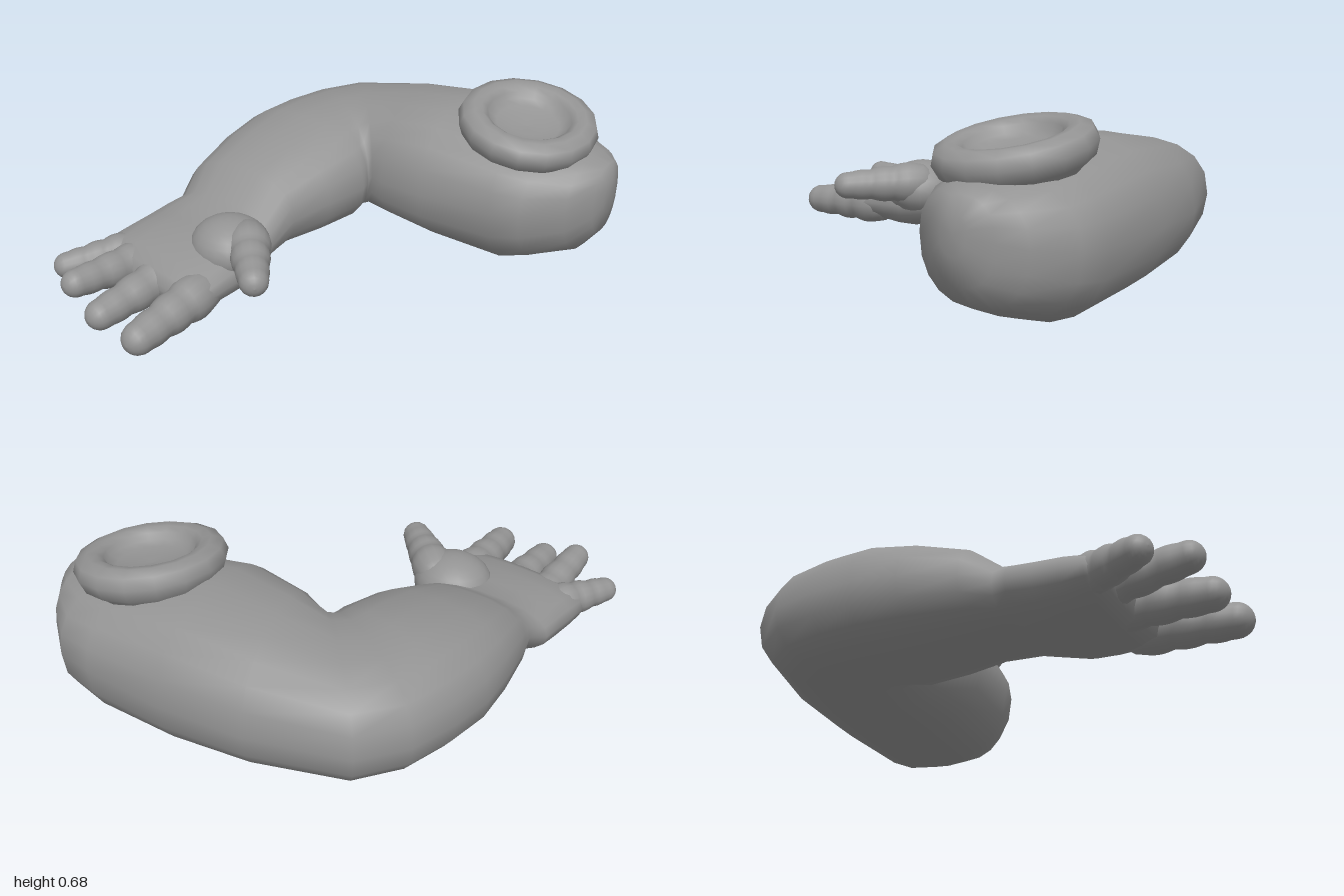
import * as THREE from 'three';

const material = new THREE.MeshStandardMaterial({ color: 0x949494 });
const SIDES = 20;

function add(parent, geometry, name) {
  const mesh = new THREE.Mesh(geometry, material);
  mesh.name = name;
  parent.add(mesh);
  return mesh;
}

// Loft through rounded sections: [outerX, outerZ, innerX, innerZ, top, bottom, widestY]
function loft(sections, power) {
  const pos = [], index = [];
  const soft = v => Math.sign(v) * Math.abs(v) ** power;
  for (const [ox, oz, ix, iz, top, bottom, mid] of sections) {
    for (let j = 0; j < SIDES; j++) {
      const a = j / SIDES * Math.PI * 2;
      const t = (1 + soft(Math.cos(a))) / 2, s = soft(Math.sin(a));
      pos.push(ox + (ix - ox) * t, mid + s * (s > 0 ? top - mid : mid - bottom), oz + (iz - oz) * t);
    }
  }
  const last = (sections.length - 1) * SIDES, start = pos.length / 3;
  for (const s of [sections[0], sections[sections.length - 1]]) {
    pos.push((s[0] + s[2]) / 2, s[6], (s[1] + s[3]) / 2);
  }
  for (let j = 0; j < SIDES; j++) {
    const k = (j + 1) % SIDES;
    for (let r = 0; r < last; r += SIDES) {
      index.push(r + j, r + k, r + SIDES + j, r + k, r + SIDES + k, r + SIDES + j);
    }
    index.push(start, k, j, start + 1, last + j, last + k);
  }
  const g = new THREE.BufferGeometry();
  g.setAttribute('position', new THREE.Float32BufferAttribute(pos, 3));
  g.setIndex(index);
  g.computeVertexNormals();
  return g;
}

// Jointed finger, rounded at both ends, running from base to the very end point
function finger(parent, name, base, end, r0, r1) {
  const a = new THREE.Vector3(...base), dir = new THREE.Vector3(...end).sub(a);
  const body = dir.length() - r1, pts = [];
  for (let i = 0; i < 4; i++) {
    const q = i / 4 * Math.PI / 2;
    pts.push(new THREE.Vector2(r0 * 0.92 * Math.sin(q), -r0 * Math.cos(q)));
  }
  for (let i = 0; i < 15; i++) {
    const t = i / 15;
    const bulge = 0.92 + 0.1 * Math.abs(Math.sin(t * Math.PI * 3));
    pts.push(new THREE.Vector2((r0 + (r1 - r0) * t) * bulge, body * t));
  }
  for (let i = 0; i <= 6; i++) {
    const q = i / 6 * Math.PI / 2;
    pts.push(new THREE.Vector2(i === 6 ? 0 : r1 * Math.cos(q), body + r1 * Math.sin(q)));
  }
  const mesh = add(parent, new THREE.LatheGeometry(pts, 16), name);
  mesh.position.copy(a);
  mesh.quaternion.setFromUnitVectors(new THREE.Vector3(0, 1, 0), dir.normalize());
}

export function createModel() {
  const model = new THREE.Group();
  model.name = 'bentArm';

  // Upper arm, elbow, forearm and open palm in one bent loft
  add(model, loft([
    [0.84, -0.68, 0.84, -0.58, 0.43, 0.29, 0.36],
    [0.81, -0.77, 0.82, -0.53, 0.49, 0.19, 0.35],
    [0.75, -0.86, 0.75, -0.43, 0.51, 0.105, 0.33],
    [0.62, -0.97, 0.60, -0.33, 0.53, 0.045, 0.31],
    [0.48, -0.985, 0.48, -0.30, 0.55, 0.0, 0.3],
    [0.13, -1.00, 0.17, -0.265, 0.605, 0.02, 0.3],
    [-0.20, -0.96, -0.03, -0.285, 0.57, 0.04, 0.29],
    [-0.57, -0.84, -0.10, -0.32, 0.52, 0.055, 0.28],
    [-0.70, -0.67, -0.11, -0.31, 0.505, 0.05, 0.27],
    [-0.76, -0.47, -0.105, -0.295, 0.50, 0.04, 0.26],
    [-0.79, -0.29, -0.10, -0.26, 0.49, 0.03, 0.25],
    [-0.78, -0.10, -0.14, -0.08, 0.45, 0.03, 0.24],
    [-0.745, 0.12, -0.20, 0.08, 0.385, 0.04, 0.21],
    [-0.71, 0.23, -0.19, 0.23, 0.295, 0.05, 0.17],
    [-0.755, 0.30, -0.18, 0.29, 0.26, 0.035, 0.15],
    [-0.765, 0.40, -0.15, 0.40, 0.25, 0.015, 0.14],
    [-0.775, 0.50, -0.16, 0.50, 0.24, 0.01, 0.13],
    [-0.785, 0.59, -0.165, 0.61, 0.215, 0.02, 0.125],
    [-0.75, 0.64, -0.17, 0.68, 0.185, 0.04, 0.12],
    [-0.69, 0.66, -0.21, 0.70, 0.14, 0.09, 0.115],
  ], 0.86), 'armAndPalm');

  // Tilted shoulder collar with a shallow round socket
  const collar = [[0.2, -0.12], [0.23, -0.075], [0.268, -0.05], [0.287, 0], [0.272, 0.042], [0.23, 0.06],
    [0.195, 0.056], [0.172, 0.04], [0.16, 0.015], [0.13, 0], [0.07, -0.01], [0, -0.014]];
  const ring = add(model, new THREE.LatheGeometry(collar.map(p => new THREE.Vector2(...p)), 16), 'shoulderCollar');
  ring.position.set(0.465, 0.582, -0.61);
  ring.quaternion.setFromUnitVectors(new THREE.Vector3(0, 1, 0), new THREE.Vector3(0.17, 1, 0.1).normalize());

  // Thumb and fingers, palm up
  const hand = new THREE.Group();
  hand.name = 'fingers';
  model.add(hand);

  const mound = add(hand, new THREE.SphereGeometry(1, 20, 14), 'thumbMound');
  mound.scale.set(0.165, 0.12, 0.155);
  mound.position.set(-0.285, 0.205, 0.375);

  finger(hand, 'thumb', [-0.21, 0.24, 0.355], [0.04, 0.235, 0.6], 0.093, 0.058);
  finger(hand, 'indexFinger', [-0.25, 0.11, 0.6], [-0.235, 0.085, 0.997], 0.092, 0.064);
  finger(hand, 'middleFinger', [-0.45, 0.11, 0.58], [-0.46, 0.09, 0.975], 0.087, 0.06);
  finger(hand, 'ringFinger', [-0.6, 0.12, 0.57], [-0.62, 0.165, 0.945], 0.083, 0.056);
  finger(hand, 'littleFinger', [-0.68, 0.13, 0.57], [-0.825, 0.115, 0.825], 0.08, 0.052);

  return model;
}
